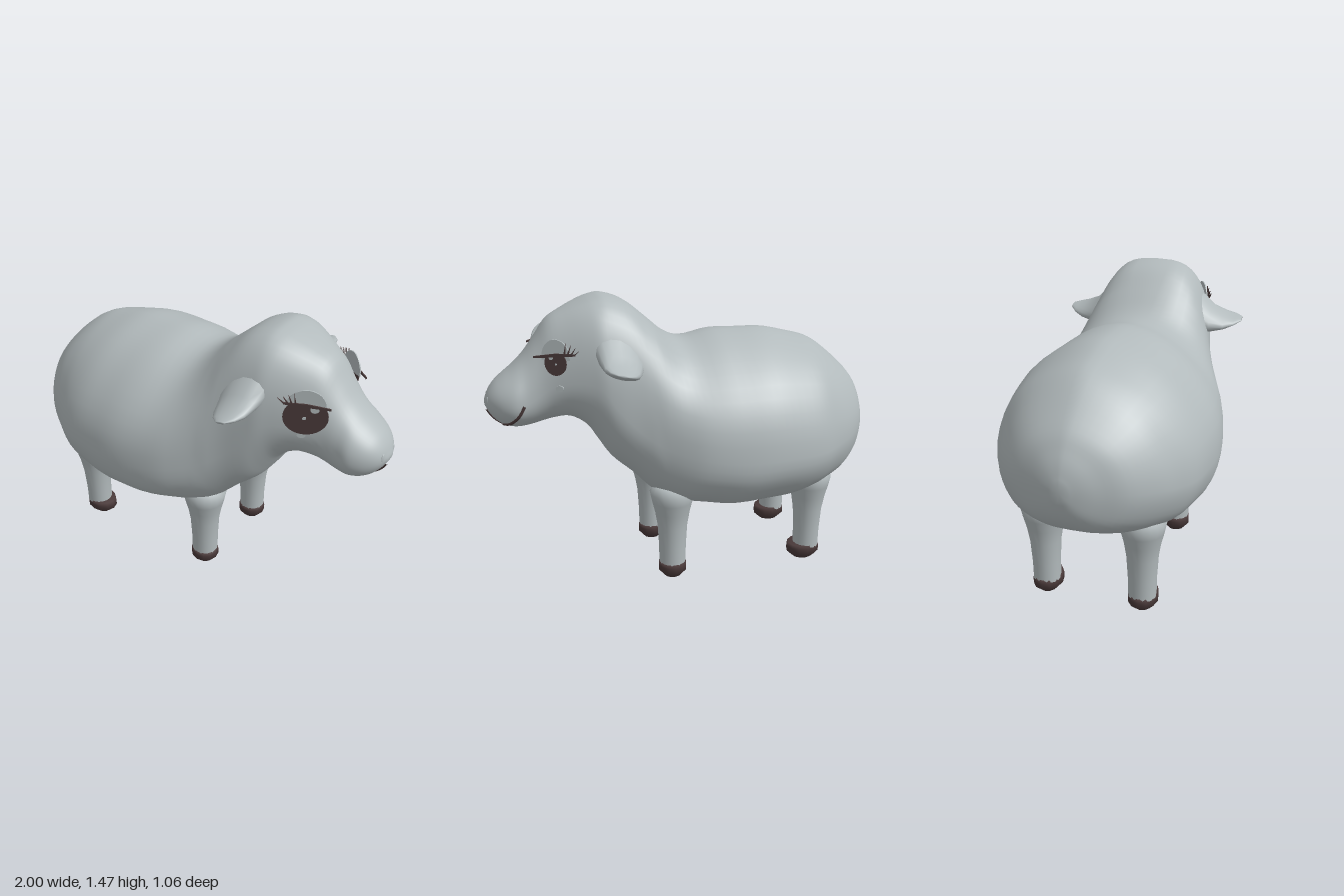
import * as THREE from 'three';

const wool = new THREE.MeshStandardMaterial({ color: 0xb2babc });
wool.name = 'woolGrey';
const dark = new THREE.MeshStandardMaterial({ color: 0x4a3a3a });
dark.name = 'darkBrown';

const V = (x, y, z) => new THREE.Vector3(x, y, z);
const { lerp, smoothstep } = THREE.MathUtils;

function add(parent, name, geometry, material) {
  const mesh = new THREE.Mesh(geometry, material);
  mesh.name = name;
  parent.add(mesh);
  return mesh;
}

// Closed skin through rings of points, with a centre point at each end
function loft(rings) {
  const n = rings[0].length, pos = [], idx = [];
  rings.forEach(r => r.forEach(p => pos.push(p.x, p.y, p.z)));
  for (let i = 0; i < rings.length - 1; i++) {
    for (let j = 0; j < n; j++) {
      const a = i * n + j, b = i * n + (j + 1) % n;
      idx.push(a, a + n, b, b, a + n, b + n);
    }
  }
  [0, rings.length - 1].forEach((i, end) => {
    const c = V(0, 0, 0);
    rings[i].forEach(p => c.addScaledVector(p, 1 / n));
    const ci = pos.length / 3;
    pos.push(c.x, c.y, c.z);
    for (let j = 0; j < n; j++) {
      const a = i * n + j, b = i * n + (j + 1) % n;
      if (end) idx.push(ci, b, a); else idx.push(ci, a, b);
    }
  });
  const g = new THREE.BufferGeometry();
  g.setAttribute('position', new THREE.Float32BufferAttribute(pos, 3));
  g.setIndex(idx);
  g.computeVertexNormals();
  return g;
}

// Body stations from rump to nose: x, top, bottom, height of widest point, half width
const stations = [
  [-1.0, 0.82, 0.74, 0.78, 0.03], [-0.98, 0.89, 0.66, 0.78, 0.1], [-0.95, 0.95, 0.6, 0.77, 0.17],
  [-0.9, 1.025, 0.545, 0.76, 0.27], [-0.8, 1.115, 0.485, 0.74, 0.37], [-0.7, 1.182, 0.45, 0.72, 0.435],
  [-0.6, 1.222, 0.42, 0.71, 0.485], [-0.45, 1.255, 0.4, 0.71, 0.522], [-0.3, 1.268, 0.388, 0.71, 0.53],
  [-0.15, 1.263, 0.388, 0.71, 0.522], [0, 1.24, 0.405, 0.73, 0.485], [0.1, 1.27, 0.425, 0.75, 0.445],
  [0.2, 1.355, 0.47, 0.79, 0.395], [0.3, 1.435, 0.57, 0.86, 0.35], [0.4, 1.47, 0.66, 0.97, 0.32],
  [0.46, 1.465, 0.75, 1.06, 0.3], [0.52, 1.445, 0.84, 1.09, 0.27], [0.6, 1.41, 0.885, 1.09, 0.23],
  [0.68, 1.365, 0.875, 1.07, 0.192], [0.74, 1.285, 0.86, 1.03, 0.173], [0.8, 1.205, 0.848, 0.99, 0.168],
  [0.86, 1.145, 0.845, 0.98, 0.17], [0.91, 1.105, 0.857, 0.98, 0.15], [0.95, 1.07, 0.883, 0.98, 0.118],
  [0.98, 1.03, 0.92, 0.975, 0.077], [1.0, 0.985, 0.96, 0.973, 0.025]
];
const heights = new THREE.CatmullRomCurve3(stations.map(s => V(s[0], s[1], s[2])), false, 'catmullrom');
const widths = new THREE.CatmullRomCurve3(stations.map(s => V(s[0], s[3], s[4])), false, 'catmullrom');

function skinPoint(t, a) {
  const h = heights.getPoint(t), w = widths.getPoint(t);
  const sn = Math.sin(a), cs = Math.cos(a);
  const lump = h.x < 0.2 ? 1 + 0.01 * Math.sin(9 * h.x + 3 * a) * Math.sin(5 * a - 13 * h.x) : 1;
  // Sloping back, full belly, broad crown, round muzzle
  const trunk = sn < 0 ? 0.66 : lerp(1.22, 0.66, smoothstep(h.x, -0.1, 0.36));
  const fullness = lerp(trunk, 0.92, smoothstep(h.x, 0.5, 0.76));
  const sy = Math.sign(sn) * Math.abs(sn) ** 0.95, sz = Math.sign(cs) * Math.abs(cs) ** fullness;
  const ry = sn > 0 ? h.y - w.y : w.y - h.z;
  return V(h.x, w.y + ry * sy * lump, w.z * sz * lump);
}

// Point on the skin at a given x
function skinAt(x, a) {
  let lo = 0, hi = 1;
  for (let i = 0; i < 30; i++) {
    const m = (lo + hi) / 2;
    if (heights.getPoint(m).x < x) lo = m; else hi = m;
  }
  return skinPoint(lo, a);
}

function ring(n, f) {
  return Array.from({ length: n }, (_, j) => f(j / n * Math.PI * 2));
}

function tube(points, r) {
  return new THREE.TubeGeometry(new THREE.CatmullRomCurve3(points), 16, r, 6);
}

// Thin plate cut from a list of [x, y] corners
function plate(points) {
  const shape = new THREE.Shape(points.map(p => new THREE.Vector2(p[0], p[1])));
  return new THREE.ExtrudeGeometry(shape, { depth: 0.006, bevelEnabled: false });
}

function oval(cx, cy, rx, ry, from = 0, to = Math.PI * 2) {
  return Array.from({ length: 29 }, (_, i) => {
    const a = from + (to - from) * i / 29;
    return [cx + rx * Math.cos(a), cy + ry * Math.sin(a)];
  });
}

// Eye facing side s, with iris and lid sized separately
function makeEye(s, irisX, irisY, lidX) {
  const eye = new THREE.Group();
  eye.name = s > 0 ? 'rightEye' : 'leftEye';
  const part = (name, pts, mat, z) => {
    add(eye, name, plate(pts.map(p => [p[0] * s, p[1]])), mat).position.z = z;
  };
  const cy = 0.065 - irisY * 0.72;
  part('eyelid', oval(0, 0.05, lidX, 0.085, -0.15, Math.PI + 0.25), wool, 0);
  part('iris', oval(0, cy, irisX, irisY, Math.PI * 0.76, Math.PI * 2.24), dark, 0.006);
  part('largeGlint', oval(irisX * 0.38, cy + irisY * 0.48, irisX * 0.2, irisY * 0.2), wool, 0.008);
  part('smallGlint', oval(-irisX * 0.05, cy - irisY * 0.05, irisX * 0.09, irisY * 0.09), wool, 0.008);
  part('tear', oval(-0.012, -0.1, 0.02, 0.015), wool, 0);
  part('lashLine', [[-0.1, 0.064], [0.108, 0.044], [0.108, 0.053], [0, 0.071], [-0.1, 0.073]], dark, 0.01);
  for (let i = 0; i < 4; i++) {
    const x = -0.1 + i * 0.016;
    part('lash', [[x, 0.068], [x + 0.009, 0.068], [x - 0.028 + i * 0.008, 0.095 + i * 0.009]], dark, 0.01);
  }
  eye.position.set(0.665, 1.17, s * 0.206);
  eye.rotation.y = s > 0 ? 0.52 : Math.PI - 0.52;
  return eye;
}

function makeEar(s) {
  // z, centre x, centre y, half length, half thickness
  const sections = [
    [0.2, 0.37, 1.22, 0.14, 0.12], [0.27, 0.375, 1.205, 0.115, 0.09], [0.33, 0.38, 1.18, 0.1, 0.056],
    [0.4, 0.392, 1.173, 0.084, 0.032], [0.45, 0.4, 1.177, 0.06, 0.016], [0.485, 0.405, 1.182, 0.025, 0.006]
  ];
  return loft(sections.map(([z, x, y, rx, ry]) => ring(16, a => {
    const dx = rx * Math.cos(a);
    return V(x + dx, y - s * ry * Math.sin(a) + dx * 0.25, s * z);
  })));
}

const lathe = (pts, n) => new THREE.LatheGeometry(pts.map(p => new THREE.Vector2(p[0], p[1])), n);

export function createModel() {
  const model = new THREE.Group();
  model.name = 'sheep';

  // Body, neck and head in one skin
  const rings = Array.from({ length: 91 }, (_, i) => ring(48, a => skinPoint(i / 90, a)));
  add(model, 'bodyAndHead', loft(rings), wool);

  // Ears
  for (const s of [1, -1]) add(model, s > 0 ? 'rightEar' : 'leftEar', makeEar(s), wool);

  // Legs and hooves: name, x, z, hoof length
  const legs = [
    ['frontRightLeg', 0.12, 0.222, 1], ['frontLeftLeg', 0.12, -0.238, 1],
    ['rearRightLeg', -0.64, 0.255, 1.22], ['rearLeftLeg', -0.64, -0.24, 1.22]
  ];
  for (const [name, x, z, hoofLength] of legs) {
    const leg = new THREE.Group();
    leg.name = name;
    add(leg, 'leg', lathe([[0.069, 0.08], [0.07, 0.18], [0.077, 0.3], [0.09, 0.38],
      [0.105, 0.44], [0.115, 0.49], [0.09, 0.53], [0, 0.55]], 20), wool);
    const hoof = add(leg, 'hoof', lathe([[0, 0.003], [0.045, 0.012], [0.074, 0.045],
      [0.074, 0.075], [0.0705, 0.095], [0, 0.095]], 12), dark);
    hoof.scale.x = hoofLength;
    hoof.position.x = (hoofLength - 1) * 0.07;
    leg.position.set(x, 0, z);
    model.add(leg);
  }

  // Eyes
  model.add(makeEye(1, 0.101, 0.09, 0.088), makeEye(-1, 0.054, 0.058, 0.07));

  // Nostrils
  for (const s of [1, -1]) {
    const nostril = add(model, 'nostril', new THREE.SphereGeometry(1, 14, 10), wool);
    nostril.scale.set(0.006, 0.025, 0.016);
    nostril.position.set(0.985, 0.985, s * 0.048);
  }

  // Mouth: flat upright bar under the nose and a smile on the left cheek
  const bar = add(model, 'mouthBar', tube([0.89, 0.93, 0.965, 0.99].map(x => skinAt(x, -Math.PI / 2)), 0.01), dark);
  bar.scale.z = 2;
  const smile = [[0.92, 4.25], [0.9, 4.02], [0.875, 3.75], [0.845, 3.45], [0.82, 3.15]];
  add(model, 'smile', tube(smile.map(([x, a]) => skinAt(x, a)), 0.008), dark);

  return model;
}
